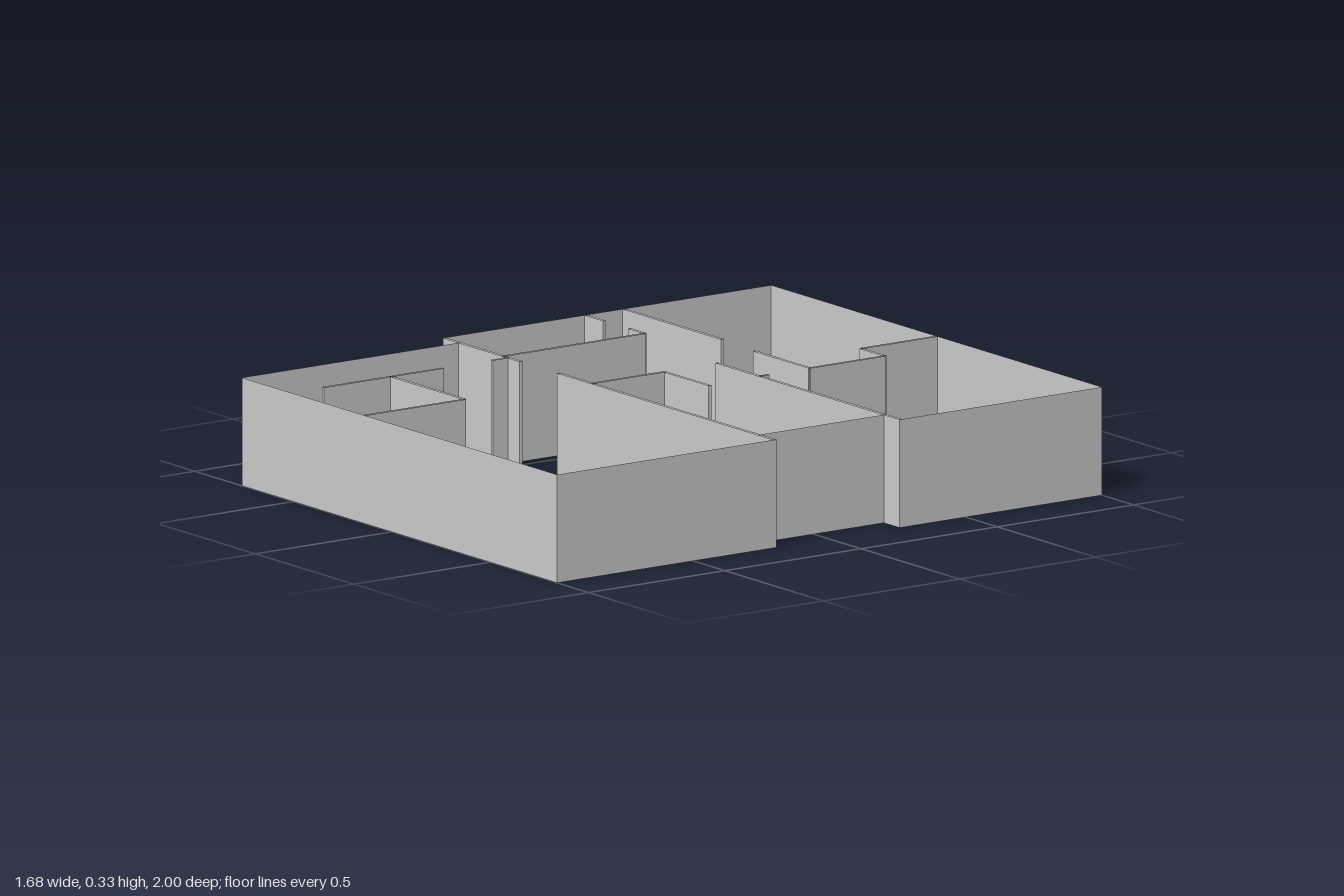
import * as THREE from 'three';

const H = 0.33; // wall height
const T = 0.01; // partition thickness

export function createModel() {
  const group = new THREE.Group();
  const material = new THREE.MeshStandardMaterial({ color: 0xcccccc, side: THREE.DoubleSide, flatShading: true });

  const add = (name, geometry, x, z, turn = 0) => {
    const mesh = new THREE.Mesh(geometry, material);
    mesh.name = name;
    mesh.position.set(x, H / 2, z);
    mesh.rotation.y = turn;
    group.add(mesh);
  };

  // Thin outer wall: a single upright sheet between two plan points
  const outerWall = (name, x1, z1, x2, z2) => {
    const length = Math.hypot(x2 - x1, z2 - z1);
    add(name, new THREE.PlaneGeometry(length, H), (x1 + x2) / 2, (z1 + z2) / 2, -Math.atan2(z2 - z1, x2 - x1));
  };

  // Partition: two close sheets with closed ends, open at top and bottom
  const partition = (name, x1, z1, x2, z2) => {
    const geometry = new THREE.BoxGeometry(Math.abs(x2 - x1) || T, H, Math.abs(z2 - z1) || T);
    const index = Array.from(geometry.index.array);
    index.splice(12, 12); // drop the top and bottom faces
    geometry.setIndex(index);
    geometry.clearGroups();
    add(name, geometry, (x1 + x2) / 2, (z1 + z2) / 2);
  };

  // Outer shell
  outerWall('frontWall', -0.76, 1, 0.84, 1);
  outerWall('backWall', 0.84, -1, -0.84, -1);
  outerWall('leftFrontWall', 0.84, 1, 0.84, 0.2);
  outerWall('leftRecessWall', 0.76, 0.2, 0.76, -0.262);
  outerWall('leftBackWall', 0.84, -0.262, 0.84, -1);
  outerWall('rightBackWall', -0.84, -1, -0.84, 0.2);
  outerWall('rightFrontWall', -0.76, 0.2, -0.76, 1);

  // Long cross walls
  partition('frontRoomWall', -0.26, 0.2, 0.84, 0.2);
  partition('frontCornerWall', -0.84, 0.2, -0.45, 0.2);
  partition('backRoomWall', -0.095, -0.262, 0.84, -0.262);
  partition('backCornerWall', -0.84, -0.46, -0.34, -0.46);

  // Front corner room
  partition('frontDivider', -0.14, 0.63, -0.14, 1);
  partition('frontRoomBackWall', -0.515, 0.63, -0.14, 0.63);
  partition('frontPassageWall', -0.515, 0.44, -0.515, 0.88);
  partition('frontDoorStub', -0.515, 0.2, -0.515, 0.26);

  // Side room on the right
  partition('sideRoomWall', -0.54, -0.32, -0.54, 0.2);
  partition('sideRoomInnerStub', -0.62, -0.32, -0.54, -0.32);
  partition('sideRoomOuterStub', -0.84, -0.32, -0.745, -0.32);

  // Central passage
  partition('passageEndWall', -0.09, -0.067, -0.09, 0.2);
  partition('passageSideWall', -0.09, -0.067, 0.14, -0.067);

  // Stepped walls between the back rooms
  partition('backDivider', 0, -1, 0, -0.722);
  partition('backStepWall', 0, -0.722, 0.122, -0.722);
  partition('backPassageWall', 0.122, -0.722, 0.122, -0.446);
  partition('backHallWall', -0.16, -0.446, 0.122, -0.446);
  partition('backDoorStub', 0.122, -0.295, 0.122, -0.262);

  return group;
}
